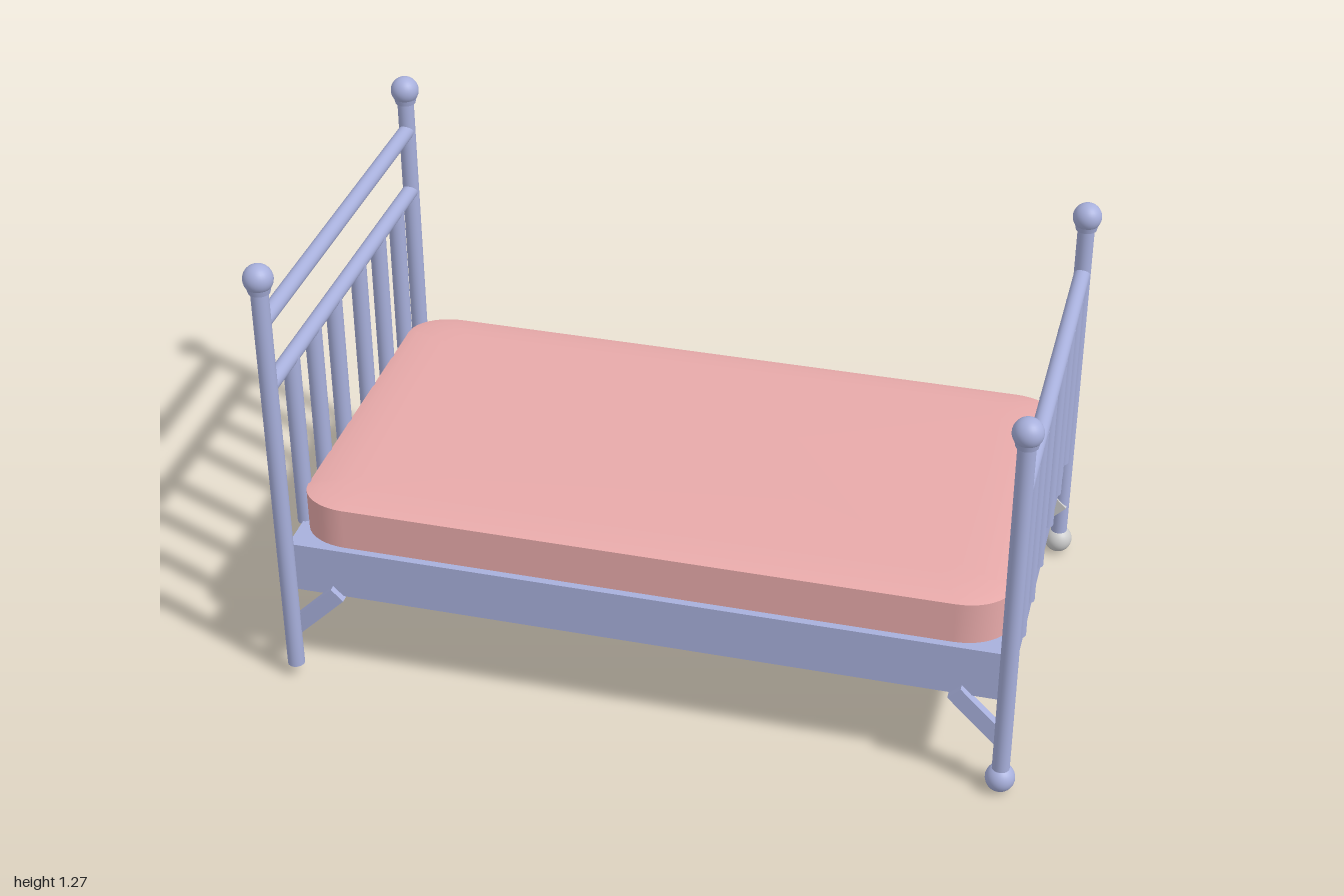
import * as THREE from 'three';

const frameMat = new THREE.MeshStandardMaterial({ color: 0xa8b0dc });
const mattressMat = new THREE.MeshStandardMaterial({ color: 0xe8aaaa });
const greyMat = new THREE.MeshStandardMaterial({ color: 0xcccccc });

const POST_X = 0.96, POST_Z = 0.542, TUBE = 0.023, BALL = 0.039;

function add(parent, name, geometry, material, x = 0, y = 0, z = 0) {
  const mesh = new THREE.Mesh(geometry, material);
  mesh.name = name;
  mesh.position.set(x, y, z);
  parent.add(mesh);
  return mesh;
}

// Upright tube between two heights
function upright(parent, name, x, z, y0, y1, radius = TUBE) {
  return add(parent, name, new THREE.CylinderGeometry(radius, radius, y1 - y0, 24), frameMat, x, (y0 + y1) / 2, z);
}

// Crossbar running from post to post
function crossbar(parent, name, x, y) {
  const bar = add(parent, name, new THREE.CylinderGeometry(0.022, 0.022, 2 * POST_Z, 24), frameMat, x, y, 0);
  bar.rotation.x = Math.PI / 2;
}

// Ball on a tapered collar, capping a post
function finial(parent, x, y, z) {
  add(parent, 'finialBall', new THREE.SphereGeometry(BALL, 28, 18), frameMat, x, y, z);
  add(parent, 'finialCollar', new THREE.CylinderGeometry(0.033, 0.028, 0.022, 24), frameMat, x, y - 0.027, z);
}

// Rounded rectangle ring of points, corner radii rx and rz
function ring(hx, hz, rx, rz, y, n = 10) {
  const pts = [];
  const signs = [[1, 1], [-1, 1], [-1, -1], [1, -1]];
  signs.forEach(([sx, sz], q) => {
    for (let i = 0; i <= n; i++) {
      const a = (q + i / n) * Math.PI / 2;
      pts.push([sx * (hx - rx) + rx * Math.cos(a), y, sz * (hz - rz) + rz * Math.sin(a)]);
    }
  });
  return pts;
}

// Mattress skin lofted through rings: straight sides, crisp edge, softly crowned top
function mattressGeometry() {
  const side = [ring(0.94, 0.5, 0.13, 0.1, 0.41), ring(0.94, 0.5, 0.13, 0.1, 0.532)];
  const top = [
    ring(0.94, 0.5, 0.13, 0.1, 0.532),
    ring(0.91, 0.475, 0.11, 0.085, 0.539),
    ring(0.85, 0.43, 0.08, 0.06, 0.544),
    ring(0.78, 0.38, 0.05, 0.04, 0.545),
  ];
  const pos = [], index = [];
  const loft = (rings) => {
    const base = pos.length / 3, m = rings[0].length;
    rings.forEach((r) => r.forEach((p) => pos.push(...p)));
    for (let k = 0; k < rings.length - 1; k++) {
      for (let i = 0; i < m; i++) {
        const j = (i + 1) % m, a = base + k * m, b = a + m;
        index.push(a + i, b + i, a + j, a + j, b + i, b + j);
      }
    }
    return base + (rings.length - 1) * m;
  };
  loft(side);
  const last = loft(top), m = top[0].length;
  const centre = pos.length / 3;
  pos.push(0, 0.545, 0);
  for (let i = 0; i < m; i++) index.push(last + i, centre, last + (i + 1) % m);
  const g = new THREE.BufferGeometry();
  g.setAttribute('position', new THREE.Float32BufferAttribute(pos, 3));
  g.setIndex(index);
  g.computeVertexNormals();
  return g;
}

// One bed end: posts, finials, crossbars and balusters; dir is the sign of x
function bedEnd(name, dir, postTop, ballY, barHeights) {
  const group = new THREE.Group();
  group.name = name;
  const x = dir * POST_X;
  for (const s of [1, -1]) {
    upright(group, 'post', x, s * POST_Z, 0.037, postTop);
    finial(group, x, ballY, s * POST_Z);
  }
  barHeights.forEach((y) => crossbar(group, 'crossbar', x, y));
  for (const z of [0.413, 0.262, 0.105, -0.083, -0.235, -0.39]) {
    upright(group, 'baluster', x, dir * z, 0.405, 0.92);
  }
  return group;
}

export function createModel() {
  const bed = new THREE.Group();
  bed.name = 'bed';

  // Base and mattress
  add(bed, 'bedBase', new THREE.BoxGeometry(1.92, 0.145, 1.04), frameMat, 0, 0.342, 0);
  add(bed, 'mattress', mattressGeometry(), mattressMat);

  // Tall headboard and lower footboard
  bed.add(bedEnd('headboard', -1, 1.21, 1.235, [0.92, 1.11]));
  bed.add(bedEnd('footboard', 1, 1.07, 1.094, [0.92]));

  for (const sz of [1, -1]) {
    // Ball feet under the footboard posts only
    const mat = sz < 0 ? greyMat : frameMat;
    add(bed, 'ballFoot', new THREE.SphereGeometry(BALL, 28, 18), mat, POST_X, BALL, sz * POST_Z);

    // Diagonal braces from posts to base
    for (const sx of [1, -1]) {
      const brace = add(bed, 'brace', new THREE.BoxGeometry(0.19, 0.046, 0.024),
        sx > 0 ? mat : frameMat, sx * 0.894, 0.214, sz * 0.526);
      brace.rotation.z = -sx * Math.PI / 4;
    }
  }
  return bed;
}
